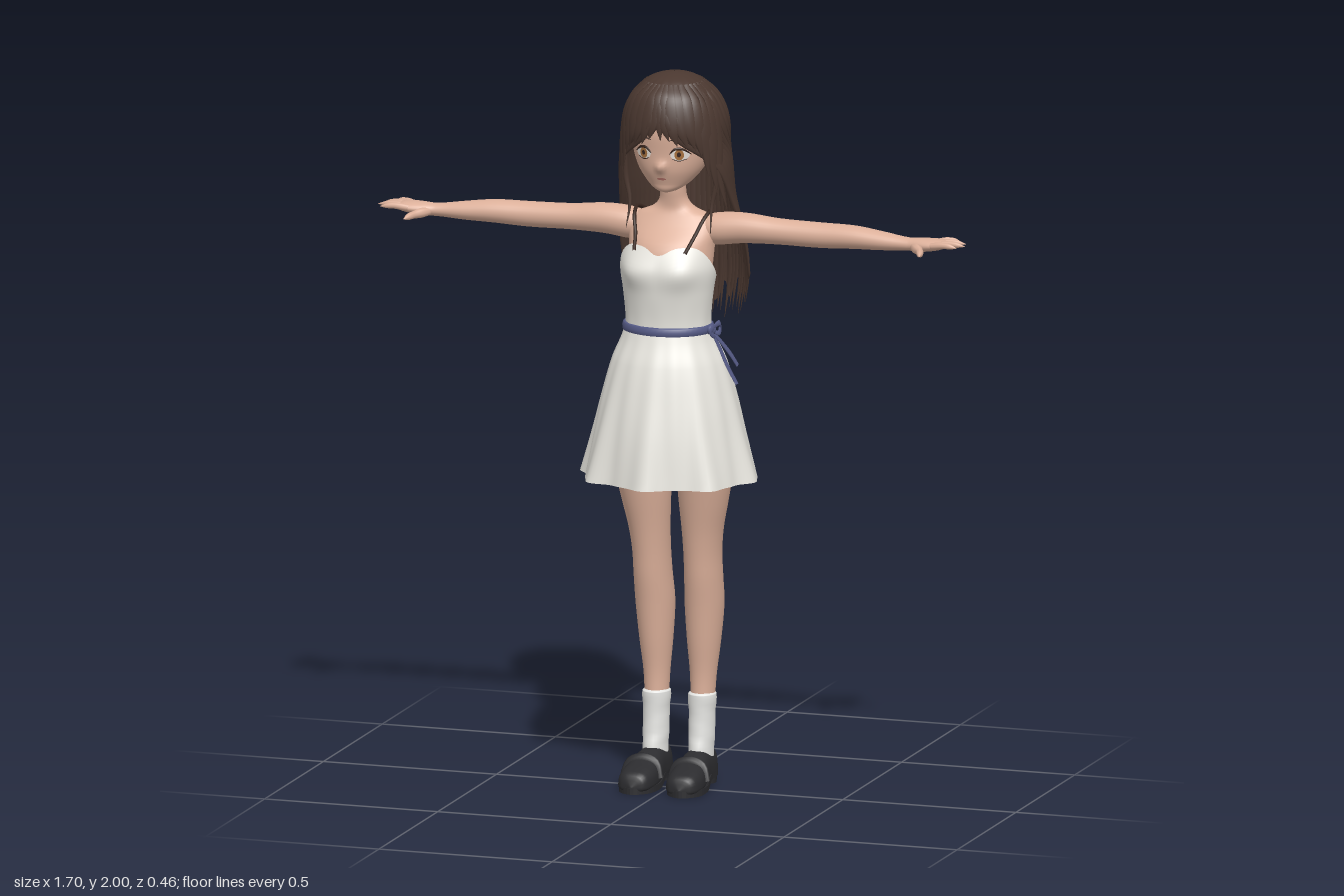
import * as THREE from 'three';

const mat = (name, color, side = THREE.FrontSide) => {
  const m = new THREE.MeshStandardMaterial({ color, side });
  m.name = name;
  return m;
};
const V = (x, y, z) => new THREE.Vector3(x, y, z);

// Smooth lookup through rows keyed by their ascending first column
function profile(rows) {
  const slope = (i, c) => {
    const a = rows[Math.max(i - 1, 0)], b = rows[Math.min(i + 1, rows.length - 1)];
    return (b[c] - a[c]) / (b[0] - a[0]);
  };
  return (key) => {
    const k = THREE.MathUtils.clamp(key, rows[0][0], rows[rows.length - 1][0]);
    let i = 0;
    while (i < rows.length - 2 && k > rows[i + 1][0]) i++;
    const h = rows[i + 1][0] - rows[i][0], t = (k - rows[i][0]) / h, t2 = t * t, t3 = t2 * t;
    return rows[i].map((p, c) => (2 * t3 - 3 * t2 + 1) * p + (t3 - 2 * t2 + t) * h * slope(i, c)
      + (3 * t2 - 2 * t3) * rows[i + 1][c] + (t3 - t2) * h * slope(i + 1, c));
  };
}

// Grid surface; the front faces along du x dv
function surf(nu, nv, fn, closed = true) {
  const pos = [], idx = [], w = closed ? nu : nu + 1;
  for (let j = 0; j <= nv; j++) for (let i = 0; i < w; i++) pos.push(...fn(i / nu, j / nv));
  for (let j = 0; j < nv; j++) for (let i = 0; i < nu; i++) {
    const a = j * w + i, b = j * w + (i + 1) % w, c = a + w, d = b + w;
    idx.push(a, b, d, a, d, c);
  }
  const g = new THREE.BufferGeometry();
  g.setAttribute('position', new THREE.Float32BufferAttribute(pos, 3));
  g.setIndex(idx);
  g.computeVertexNormals();
  return g;
}

// Point on a ring row [y, cx, cz, rx, front depth, back depth]
function ring([y, cx, cz, rx, rf, rb], a, k = 1, pow = 1) {
  const e = (s) => Math.sign(s) * Math.abs(s) ** pow, c = e(Math.cos(a));
  return [cx + rx * k * e(Math.sin(a)), y, cz + (c > 0 ? rf : rb) * k * c];
}
function loft(rows, { segs = 28, sub = 4, bump = () => 1, pow = 1 } = {}) {
  const at = profile(rows), n = (rows.length - 1) * sub;
  return surf(segs, n, (u, v) => {
    const f = v * (rows.length - 1), i = Math.min(Math.floor(f), rows.length - 2);
    const y = THREE.MathUtils.lerp(rows[i][0], rows[i + 1][0], f - i), a = u * Math.PI * 2;
    return ring(at(y), a, bump(a, y), pow);
  });
}

// Tapered strand along a smooth path; up is a vector or a function of the point
function sweep(pts, radii, { flat = 1, up = V(0, 1, 0), segs = 8, steps = 16 } = {}) {
  const curve = new THREE.CatmullRomCurve3(pts);
  const rad = profile(radii.map((r, i) => [i / (radii.length - 1), r]));
  return surf(segs, steps, (u, v) => {
    const p = curve.getPoint(v), T = curve.getTangent(v);
    const e1 = (up.isVector3 ? up : up(p)).clone().cross(T).normalize(), e2 = T.clone().cross(e1);
    const r = Math.max(rad(v)[1], 0.0005), a = u * Math.PI * 2;
    return p.addScaledVector(e1, r * Math.cos(a)).addScaledVector(e2, r * flat * Math.sin(a)).toArray();
  });
}
function mirror(geo) {
  const g = geo.clone().scale(-1, 1, 1);
  if (!g.index) g.setIndex([...Array(g.attributes.position.count).keys()]);
  const ix = g.index.array;
  for (let i = 0; i < ix.length; i += 3) [ix[i], ix[i + 1]] = [ix[i + 1], ix[i]];
  return g;
}

export function createModel() {
  const root = new THREE.Group();
  root.name = 'girlInSundress';
  const skin = mat('skin', 0xdcb09a), cloth = mat('dressWhite', 0xe7e5de, THREE.DoubleSide);
  const hair = mat('hairBrown', 0x4b3830, THREE.DoubleSide), black = mat('shoeBlack', 0x2c2c2f);
  const blue = mat('ribbonBlue', 0x555a85), dark = mat('darkBrown', 0x38261f);
  const amber = mat('irisAmber', 0xa9733f), eyeWhite = mat('eyeWhite', 0xefe8e0);
  const lip = mat('lip', 0xb5746a), sockMat = mat('sockWhite', 0xe4e4e1);
  const add = (name, geo, m) => {
    const o = new THREE.Mesh(geo, m);
    o.name = name;
    root.add(o);
  };
  const pair = (name, geo, m) => { add(name + 'Left', geo, m); add(name + 'Right', mirror(geo), m); };
  const gauss = (x, w) => Math.exp(-((x / w) ** 2));
  const wrap = (a) => (a > Math.PI ? a - 2 * Math.PI : a);
  const step = THREE.MathUtils.smoothstep;

  // Head with a small nose
  const headRows = [[1.672, 0, 0.03, 0.004, 0.004, 0.004], [1.68, 0, 0.02, 0.03, 0.033, 0.03],
    [1.70, 0, 0, 0.06, 0.06, 0.05], [1.74, 0, -0.02, 0.092, 0.094, 0.07], [1.79, 0, -0.03, 0.11, 0.109, 0.1],
    [1.85, 0, -0.04, 0.118, 0.124, 0.12], [1.91, 0, -0.04, 0.11, 0.114, 0.12],
    [1.96, 0, -0.04, 0.075, 0.075, 0.085], [1.98, 0, -0.04, 0.003, 0.003, 0.003]];
  add('head', loft(headRows, { segs: 64, sub: 6,
    bump: (a, y) => 1 + 0.15 * gauss(wrap(a), 0.13) * gauss(y - 1.75, 0.014) }), skin);

  // Face details laid on the head surface
  const headAt = profile(headRows);
  const faceP = (x, y, off) => {
    const [, , cz, rx, rf] = headAt(y);
    return V(x, y, cz + rf * Math.sqrt(Math.max(0, 1 - (x / rx) ** 2)) + off);
  };
  const patch = (cx, cy, w, h, off) => surf(20, 4, (u, v) => {
    const a = -u * Math.PI * 2;
    return faceP(cx + w * v * Math.cos(a), cy + h * v * Math.sin(a), off).toArray();
  });
  const line = (pts, r) => sweep(pts.map(([x, y]) => faceP(x, y, 0.003)), [0.0008, r, r, 0.0008], { up: V(0, 0, 1), flat: 0.6 });
  pair('eye', patch(0.052, 1.788, 0.024, 0.016, 0.002), eyeWhite);
  pair('iris', patch(0.051, 1.788, 0.012, 0.015, 0.0035), amber);
  pair('pupil', patch(0.051, 1.789, 0.005, 0.007, 0.005), dark);
  pair('upperLash', line([[0.026, 1.79], [0.04, 1.804], [0.06, 1.804], [0.08, 1.788]], 0.0035), dark);
  pair('lowerLash', line([[0.034, 1.776], [0.05, 1.771], [0.07, 1.776]], 0.0012), dark);
  pair('eyebrow', line([[0.025, 1.828], [0.05, 1.834], [0.08, 1.824]], 0.0022), dark);
  add('mouth', patch(0, 1.717, 0.013, 0.0035, 0.003), lip);

  // Body and neck
  add('torso', loft([[1.26, 0, 0, 0.1, 0.085, 0.07], [1.4, 0, 0, 0.11, 0.095, 0.075], [1.46, 0, -0.01, 0.118, 0.1, 0.075],
    [1.52, 0, -0.025, 0.121, 0.098, 0.062], [1.57, 0, -0.035, 0.125, 0.062, 0.055], [1.6, 0, -0.04, 0.105, 0.045, 0.045],
    [1.618, 0, -0.04, 0.062, 0.038, 0.04], [1.64, 0, -0.036, 0.041, 0.035, 0.037], [1.67, 0, -0.03, 0.036, 0.034, 0.036],
    [1.73, 0, -0.025, 0.037, 0.034, 0.036]]), skin);

  // Arms and hands, lofted outward along x
  pair('arm', loft([[0.06, -1.56, -0.042, 0.03, 0.03, 0.03], [0.12, -1.564, -0.045, 0.044, 0.045, 0.045],
    [0.2, -1.571, -0.045, 0.042, 0.043, 0.043], [0.3, -1.568, -0.046, 0.036, 0.037, 0.037],
    [0.42, -1.566, -0.046, 0.035, 0.036, 0.036], [0.52, -1.568, -0.043, 0.032, 0.037, 0.037],
    [0.6, -1.565, -0.038, 0.026, 0.032, 0.032], [0.68, -1.563, -0.031, 0.018, 0.023, 0.023],
    [0.72, -1.564, -0.029, 0.019, 0.031, 0.03], [0.76, -1.567, -0.03, 0.016, 0.038, 0.038],
    [0.785, -1.569, -0.03, 0.01, 0.034, 0.034], [0.793, -1.57, -0.03, 0.002, 0.004, 0.004]]).rotateZ(-Math.PI / 2), skin);
  [[-0.06, 0.815, -0.075], [-0.041, 0.84, -0.047], [-0.019, 0.848, -0.017], [0, 0.833, 0.012]].forEach(([z, tx, tz], i) =>
    pair('finger' + (i + 1), sweep([V(0.755, 1.568, z), V((0.755 + tx) / 2, 1.573, (z + tz) / 2), V(tx, 1.57, tz)],
      [0.009, 0.0095, 0.0085, 0.007, 0.0005]), skin));
  pair('thumb', sweep([V(0.7, 1.56, -0.015), V(0.73, 1.556, 0.025), V(0.745, 1.552, 0.072)], [0.012, 0.014, 0.011, 0.009, 0.0005]), skin);

  // Legs and socks
  pair('leg', loft([[0.2, 0.066, -0.085, 0.032, 0.038, 0.038], [0.3, 0.067, -0.09, 0.036, 0.042, 0.042],
    [0.4, 0.069, -0.09, 0.046, 0.055, 0.058], [0.5, 0.071, -0.088, 0.053, 0.066, 0.068],
    [0.58, 0.073, -0.075, 0.052, 0.066, 0.067], [0.65, 0.074, -0.065, 0.052, 0.065, 0.064],
    [0.72, 0.077, -0.055, 0.057, 0.067, 0.067], [0.8, 0.083, -0.045, 0.068, 0.075, 0.076],
    [0.88, 0.088, -0.037, 0.077, 0.085, 0.085], [1, 0.087, -0.02, 0.082, 0.095, 0.1], [1.1, 0.08, 0, 0.06, 0.06, 0.06]]), skin);
  pair('sock', loft([[0.05, 0.065, -0.075, 0.034, 0.055, 0.045], [0.1, 0.066, -0.077, 0.034, 0.05, 0.043],
    [0.14, 0.066, -0.08, 0.036, 0.044, 0.042], [0.2, 0.066, -0.083, 0.036, 0.042, 0.041],
    [0.25, 0.066, -0.085, 0.039, 0.045, 0.043], [0.256, 0.066, -0.085, 0.032, 0.038, 0.036]],
  { bump: (a, y) => 1 + 0.012 * Math.sin(y * 130 + 2 * a) }), sockMat);

  // Loafers: upper, sole with raised arch, heel and instep band
  const upper = loft([[-0.134, 0.065, -0.045, 0.003, 0.003, 0.003], [-0.127, 0.065, -0.035, 0.028, 0.03, 0.058],
    [-0.1, 0.065, -0.035, 0.038, 0.03, 0.065], [-0.04, 0.065, -0.035, 0.041, 0.03, 0.066], [0, 0.066, -0.03, 0.046, 0.025, 0.062],
    [0.05, 0.068, -0.025, 0.051, 0.02, 0.05], [0.09, 0.069, -0.022, 0.048, 0.018, 0.042],
    [0.118, 0.069, -0.02, 0.034, 0.014, 0.03], [0.128, 0.069, -0.018, 0.003, 0.003, 0.003]], { pow: 0.75 }).rotateX(Math.PI / 2);
  pair('shoeUpper', upper, black);
  const outline = new THREE.Shape(new THREE.SplineCurve([[0.065, -0.135], [0.1, -0.115], [0.106, -0.05], [0.12, 0.04],
    [0.112, 0.1], [0.07, 0.13], [0.028, 0.1], [0.016, 0.04], [0.025, -0.05], [0.03, -0.115], [0.065, -0.135]]
    .map(([x, z]) => new THREE.Vector2(x, -z))).getPoints(48));
  const sole = new THREE.ExtrudeGeometry(outline, { depth: 0.018, bevelEnabled: false }).rotateX(-Math.PI / 2);
  const sp = sole.attributes.position;
  for (let i = 0; i < sp.count; i++) sp.setY(i, sp.getY(i) + 0.018 * step(-sp.getZ(i), -0.02, 0.05));
  sole.computeVertexNormals();
  pair('sole', sole, black);
  pair('heel', new THREE.CylinderGeometry(0.038, 0.036, 0.024, 24).translate(0.065, 0.012, -0.096), black);
  pair('insteBand'.replace('inste', 'instep'), sweep([V(0.018, 0.03, 0.04), V(0.032, 0.072, 0.032), V(0.067, 0.085, 0.03),
    V(0.103, 0.072, 0.032), V(0.118, 0.03, 0.04)], [0.013, 0.013, 0.013], { up: V(0, 0.6, 1), flat: 0.4 }), black);

  // Bodice with sweetheart neckline
  const bodiceAt = profile([[1.28, 0, 0.01, 0.12, 0.098, 0.093], [1.33, 0, 0.01, 0.12, 0.099, 0.093],
    [1.4, 0, 0.01, 0.127, 0.106, 0.098], [1.46, 0, 0.005, 0.136, 0.114, 0.096], [1.5, 0, -0.002, 0.133, 0.107, 0.086],
    [1.54, 0, -0.01, 0.124, 0.092, 0.075]]);
  add('bodice', surf(72, 24, (u, v) => {
    const a = u * Math.PI * 2, w = wrap(a);
    const top = 1.437 + 0.093 * step(Math.cos(a), -0.3, 0.8) - 0.022 * gauss(w, 0.25);
    const y = THREE.MathUtils.lerp(1.28, top, v);
    const bust = 0.12 * gauss(Math.abs(w) - 0.48, 0.36) * gauss(y - 1.462, 0.045);
    return ring(bodiceAt(y), a, 1 + bust + 0.006 * Math.sin(12 * a) * gauss(y - 1.3, 0.06));
  }), cloth);

  // Flared skirt with folds that deepen to the hem
  add('skirt', loft([[0.875, 0, 0, 0.244, 0.217, 0.226], [1, 0, 0, 0.212, 0.197, 0.198], [1.1, 0, 0, 0.188, 0.175, 0.176],
    [1.2, 0, 0, 0.16, 0.148, 0.136], [1.26, 0, 0.003, 0.134, 0.12, 0.104], [1.3, 0, 0.01, 0.119, 0.098, 0.092]],
  { segs: 128, sub: 6, bump: (a, y) => {
    const t = (1.3 - y) / 0.43, front = 0.3 + 0.7 * step(Math.cos(a), -0.4, 0.5);
    return 1 + front * (0.06 * t * t * Math.cos(8 * a + 0.15) + 0.016 * Math.sqrt(Math.max(t, 0)) * Math.cos(17 * a));
  } }), cloth);

  // Ribbon belt, side bow and tails
  add('belt', loft([[1.284, 0, 0.01, 0.118, 0.1, 0.092], [1.286, 0, 0.01, 0.127, 0.108, 0.1],
    [1.306, 0, 0.01, 0.126, 0.106, 0.099], [1.308, 0, 0.01, 0.117, 0.098, 0.09]], { segs: 48, sub: 2 }), blue);
  const band = { up: V(1, 0.3, 0), flat: 0.3 };
  add('bowKnot', new THREE.SphereGeometry(0.014, 14, 10).translate(0.13, 1.296, 0.03), blue);
  for (const s of [-1, 1]) add(s > 0 ? 'bowLoopFront' : 'bowLoopBack', sweep([V(0.13, 1.297, 0.03), V(0.145, 1.312, 0.03 + s * 0.022),
    V(0.142, 1.298, 0.03 + s * 0.042), V(0.145, 1.284, 0.03 + s * 0.022), V(0.131, 1.295, 0.03)], [0.006, 0.008, 0.008, 0.006], band), blue);
  add('ribbonTailLong', sweep([V(0.13, 1.295, 0.03), V(0.15, 1.25, 0.022), V(0.178, 1.2, 0.034), V(0.207, 1.15, 0.036)], [0.006, 0.01, 0.011, 0.01], band), blue);
  add('ribbonTailShort', sweep([V(0.13, 1.295, 0.028), V(0.152, 1.26, 0.01), V(0.172, 1.225, -0.008), V(0.188, 1.19, -0.024)], [0.006, 0.009, 0.01, 0.009], band), blue);

  // Shoulder straps crossing at the back
  pair('strap', sweep([V(0.073, 1.515, 0.088), V(0.085, 1.555, 0.04), V(0.1, 1.598, 0.004), V(0.105, 1.614, -0.04),
    V(0.085, 1.585, -0.088), V(0.03, 1.5, -0.1), V(-0.035, 1.43, -0.09)], [0.005, 0.005, 0.005], { up: V(1, 0.2, 0), steps: 36 }), dark);

  // Hair: outer profile and the angular span it covers around the back
  const hairAt = profile([[1.22, 0, -0.16, 0.15, 0.04, 0.045], [1.3, 0, -0.15, 0.168, 0.05, 0.062], [1.4, 0, -0.13, 0.182, 0.06, 0.09],
    [1.5, 0, -0.1, 0.182, 0.09, 0.122], [1.6, 0, -0.07, 0.164, 0.11, 0.153], [1.7, 0, -0.05, 0.15, 0.135, 0.172],
    [1.8, 0, -0.05, 0.145, 0.143, 0.172], [1.85, 0, -0.05, 0.142, 0.145, 0.167], [1.9, 0, -0.05, 0.131, 0.138, 0.15],
    [1.95, 0, -0.045, 0.105, 0.113, 0.115], [1.98, 0, -0.04, 0.07, 0.075, 0.075], [1.993, 0, -0.04, 0.036, 0.038, 0.038], [1.998, 0, -0.04, 0.002, 0.002, 0.002]]);
  const span = profile([[1.22, 1.3], [1.55, 1.42], [1.65, 1.6], [1.75, 2], [1.82, 2.3], [1.87, 3.1], [2, 3.14]]);
  const hairP = (a, y, k = 1) => V(...ring(hairAt(y), a, k));
  const backP = (u, y, k) => hairP(Math.PI + u * Math.min(span(y)[1], Math.PI), y, k);
  const radial = (p) => V(p.x, 0.02, p.z + 0.05);
  add('hairShell', surf(96, 48, (u, v) => {
    const s = u * 2 - 1, end = 1.4 - 0.07 * (1 - Math.abs(s)) + 0.025 * Math.sin(29 * s);
    return backP(s, THREE.MathUtils.lerp(end, 1.998, 1 - (1 - v) ** 1.6), 1 + 0.008 * Math.sin(60 * s)).toArray();
  }, false), hair);

  let seed = 7;
  const rnd = () => (seed = (seed * 16807) % 2147483647) / 2147483647;
  const locks = 30;
  for (let i = 0; i < locks; i++) {
    const u = -0.96 + 1.92 * i / (locks - 1), end = 1.36 - 0.08 * (1 - Math.abs(u)) - 0.06 * rnd() + 0.05 * rnd();
    const pts = [1.975, 1.93, 1.86, 1.76, 1.64, 1.52, 1.42, end].map((y, j) => backP(u + (j > 5 ? 0.05 * (rnd() - 0.5) : 0), y, 1.005));
    add('hairLock' + (i + 1), sweep(pts, [0.004, 0.012, 0.016, 0.017, 0.016, 0.012, 0.0006], { flat: 0.35, up: radial, steps: 32 }), hair);
  }

  // Fringe and face-framing locks: [start angle, tip angle, tip height, width]
  [[0.05, 0.2, 1.83, 0.018], [0.2, 0.36, 1.815, 0.02], [0.36, 0.56, 1.81, 0.02], [0.55, 0.72, 1.8, 0.022],
    [0.75, 0.86, 1.775, 0.022], [0.92, 0.98, 1.72, 0.021], [1.08, 1.12, 1.67, 0.02], [1.25, 1.28, 1.62, 0.018]].forEach(([a0, a1, tip, w], i) => {
    const pts = [0, 0.2, 0.45, 0.75, 1].map((t) => hairP(a0 + (a1 - a0) * t * t, 1.975 + (tip - 1.975) * t, 1.01));
    pair('fringeLock' + (i + 1), sweep(pts, [0.008, w, w * 1.1, w * 0.8, 0.0006], { flat: 0.3, up: radial, steps: 20 }), hair);
  });
  add('fringeCentre', sweep([1.975, 1.93, 1.88, 1.83].map((y, j) => hairP(-0.05 + 0.03 * j, y, 1.01)),
    [0.008, 0.018, 0.014, 0.0006], { flat: 0.3, up: radial }), hair);
  pair('sideWisp', sweep([V(0.128, 1.78, 0.0), V(0.13, 1.7, -0.012), V(0.118, 1.63, -0.01), V(0.122, 1.56, 0.012)],
    [0.006, 0.008, 0.005, 0.0006], { up: V(1, 0, 0) }), hair);
  return root;
}
